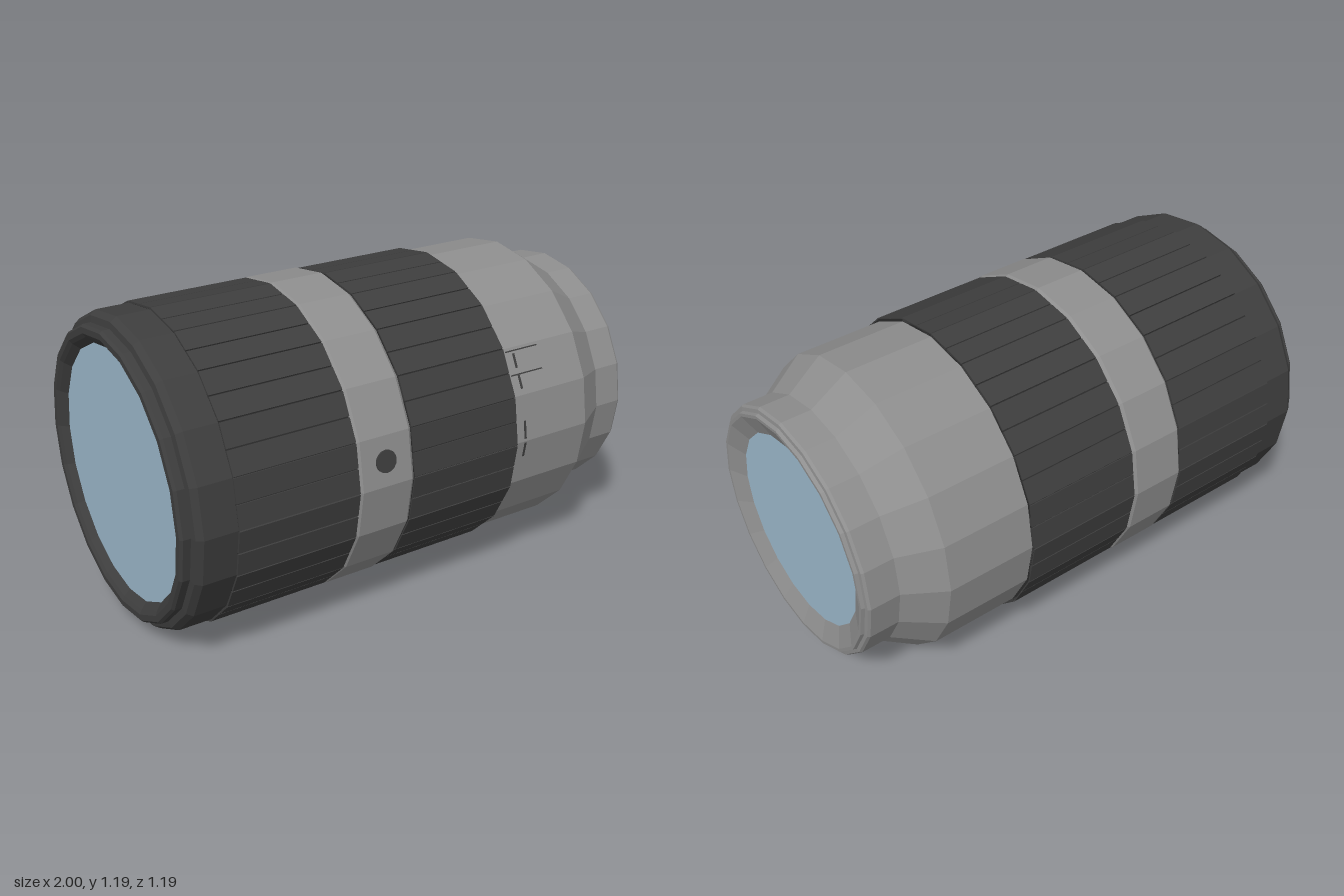
import * as THREE from 'three';

const SIDES = 20;
const CY = 0.597; // height of the barrel axis

const mat = (name, color) => {
  const m = new THREE.MeshStandardMaterial({ color });
  m.name = name;
  return m;
};

// Faceted ring around the x axis from [x, radius] pairs
function ring(profile) {
  const pts = profile.map(([x, r]) => new THREE.Vector2(r, x));
  const g = new THREE.LatheGeometry(pts, SIDES).rotateZ(-Math.PI / 2).toNonIndexed();
  g.computeVertexNormals();
  return g;
}

export function createModel() {
  const rubber = mat('black rubber', 0x3e3e3e);
  const metal = mat('grey metal', 0x8e8e8e);
  const glass = mat('blue glass', 0x9cb9cc);
  const groove = mat('dark groove', 0x2a2a2a);

  const model = new THREE.Group();
  const barrel = new THREE.Group();
  barrel.name = 'barrel';
  barrel.position.y = CY;
  model.add(barrel);

  const add = (name, geometry, material, parent = barrel) => {
    const mesh = new THREE.Mesh(geometry, material);
    mesh.name = name;
    parent.add(mesh);
    return mesh;
  };

  // Large end: recessed lip, rim and shoulder
  add('largeRim', ring([
    [-0.965, 0.475], [-0.99, 0.5], [-1, 0.515], [-1, 0.538], [-0.99, 0.547],
    [-0.962, 0.547], [-0.958, 0.572], [-0.935, 0.588], [-0.81, 0.588],
  ]), rubber);

  // Rubber grips: faceted core with two flat ribs on each facet
  const apothem = 0.589 * Math.cos(Math.PI / SIDES);
  function grip(name, x0, x1, top) {
    const group = new THREE.Group();
    group.name = name;
    barrel.add(group);
    add('gripCore', ring([[x0, 0.5], [x0, 0.589], [x1, 0.589], [x1, 0.5]]), groove, group);
    const height = top * Math.cos(Math.PI / SIDES) - apothem + 0.01;
    const half = top * Math.sin(Math.PI / SIDES);
    for (let i = 0; i < SIDES; i++) {
      for (const side of [-1, 1]) {
        const rib = new THREE.BoxGeometry(x1 - x0, half - 0.005, height);
        rib.translate((x0 + x1) / 2, side * half / 2, apothem - 0.01 + height / 2);
        rib.rotateX(((i + 0.5) / SIDES) * Math.PI * 2);
        add('gripRib', rib, rubber, group);
      }
    }
  }
  grip('zoomGrip', -0.81, -0.337, 0.596);
  grip('focusGrip', -0.105, 0.365, 0.594);

  // Metal band between the grips
  add('middleBand', ring([
    [-0.337, 0.55], [-0.335, 0.588], [-0.325, 0.597], [-0.12, 0.597], [-0.108, 0.588], [-0.105, 0.55],
  ]), metal);

  // Metal body tapering to the mount
  add('rearBody', ring([
    [0.365, 0.58], [0.715, 0.58], [0.86, 0.488], [0.975, 0.488], [0.985, 0.482],
    [0.987, 0.468], [1, 0.464], [1, 0.452], [0.965, 0.375],
  ]), metal);

  // Glass discs at both ends
  add('smallGlass', new THREE.CircleGeometry(0.378, SIDES).rotateY(Math.PI / 2).translate(0.966, 0, 0), glass);
  add('largeGlass', new THREE.CircleGeometry(0.478, SIDES).rotateY(-Math.PI / 2).translate(-0.966, 0, 0), glass);

  // Details lying on a facet; angle is degrees above the front direction
  const onFacet = (geometry, x, across, radius, angle) => geometry
    .translate(x, across, radius * Math.cos(Math.PI / SIDES))
    .rotateX(-THREE.MathUtils.degToRad(angle));

  // Round button on the middle band
  add('button', onFacet(
    new THREE.CylinderGeometry(0.042, 0.042, 0.012, 16).rotateX(Math.PI / 2),
    -0.225, 0, 0.597, 9), rubber);

  // Index marks on the body: [x, across, length along x, length around, angle]
  const marks = [
    [0.415, 0.04, 0.009, 0.055, 27], [0.415, -0.04, 0.009, 0.055, 27],
    [0.455, 0.078, 0.15, 0.005, 27], [0.455, -0.012, 0.15, 0.005, 27],
    [0.415, -0.045, 0.009, 0.07, 9], [0.415, 0.055, 0.009, 0.06, -9],
  ];
  for (const [x, across, w, h, angle] of marks) {
    add('indexMark', onFacet(new THREE.BoxGeometry(w, h, 0.004), x, across, 0.58, angle), rubber);
  }

  return model;
}
